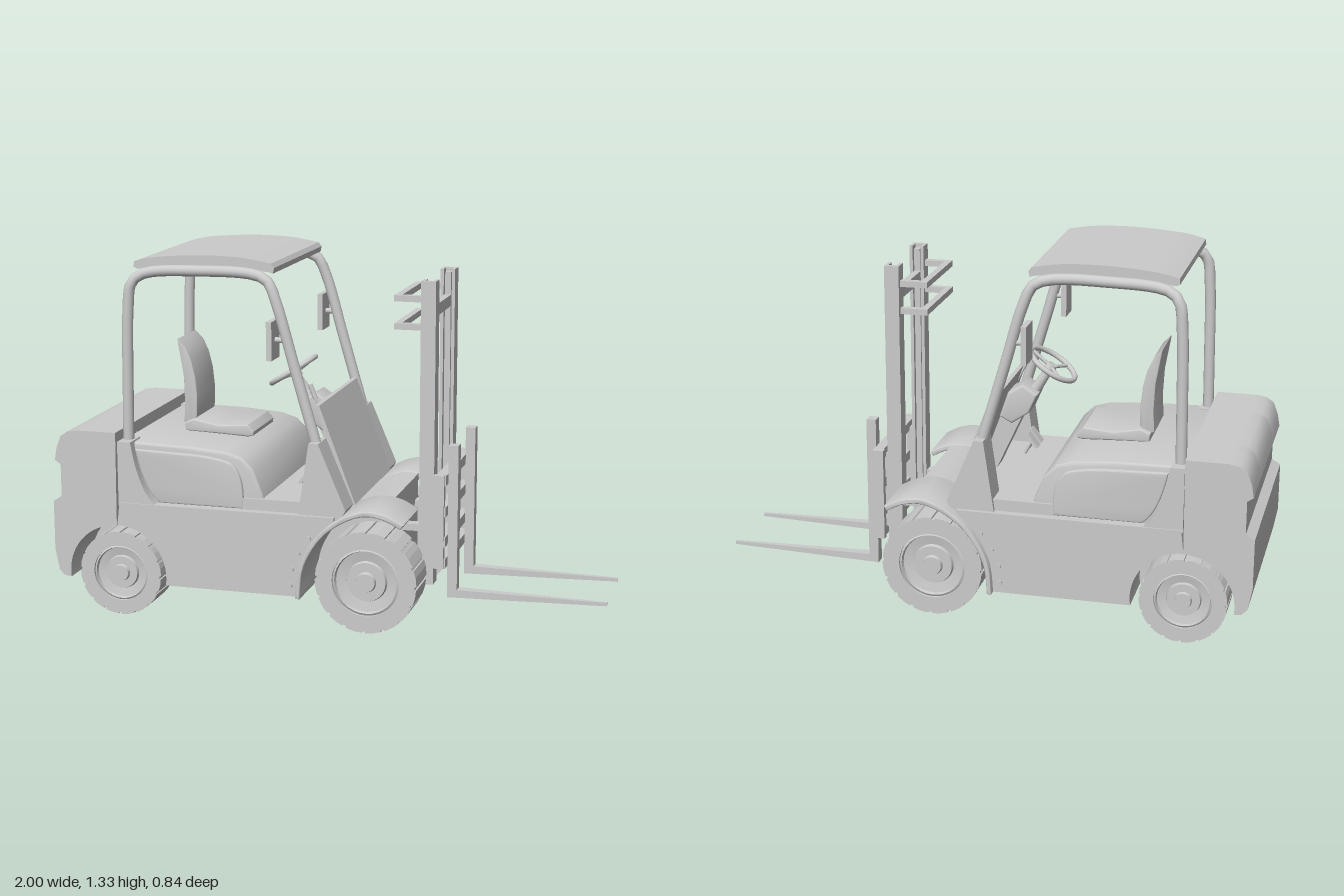
import * as THREE from 'three';
import { toCreasedNormals } from 'three/addons/utils/BufferGeometryUtils.js';

const V = (x, y, z) => new THREE.Vector3(x, y, z);

export function createModel() {
  const root = new THREE.Group();
  const grey = new THREE.MeshStandardMaterial({ color: 0xcccccc, side: THREE.DoubleSide });

  const add = (name, geo, parent = root) => {
    const m = new THREE.Mesh(geo, grey);
    m.name = name;
    parent.add(m);
    return m;
  };
  // box given by its two extreme corners
  const box = (name, x0, x1, y0, y1, z0, z1) => {
    const g = new THREE.BoxGeometry(x1 - x0, y1 - y0, z1 - z0);
    g.translate((x0 + x1) / 2, (y0 + y1) / 2, (z0 + z1) / 2);
    return add(name, g);
  };
  // side profile (points or Shape) extruded across z, with optional rounded edge
  const slab = (name, profile, z0, z1, bevel = 0) => {
    const shape = Array.isArray(profile) ? new THREE.Shape(profile.map(p => new THREE.Vector2(...p))) : profile;
    const g = new THREE.ExtrudeGeometry(shape, {
      depth: z1 - z0 - 2 * bevel, curveSegments: 16, bevelEnabled: bevel > 0,
      bevelSize: bevel, bevelOffset: -bevel, bevelThickness: bevel, bevelSegments: 3,
    });
    g.translate(0, 0, z0 + bevel);
    return add(name, toCreasedNormals(g, 0.6));
  };
  const pair = (name, profile, z0, z1, bevel) => {
    slab(name, profile, z0, z1, bevel);
    slab(name, profile, -z1, -z0, bevel);
  };
  const rod = (name, pts, r, parent) => {
    const path = new THREE.CatmullRomCurve3(pts, false, 'centripetal');
    return add(name, new THREE.TubeGeometry(path, pts.length > 2 ? 48 : 1, r, 12), parent);
  };
  const spline = (pts, n) => new THREE.SplineCurve(pts.map(p => new THREE.Vector2(...p)))
    .getPoints(n).map(p => [p.x, p.y]);
  const arc = (cx, cy, r, a0, a1, n = 16) => Array.from({ length: n + 1 }, (_, i) => {
    const a = a0 + (a1 - a0) * i / n;
    return [cx + r * Math.cos(a), cy + r * Math.sin(a)];
  });

  // counterweight: grooved rear, wheel arch in each outer side
  const back = [[-0.752, 0.69], [-0.9, 0.69], [-0.94, 0.683], [-0.965, 0.665], [-0.982, 0.62],
    [-0.99, 0.575], [-0.968, 0.56], [-0.968, 0.44], [-1, 0.42], [-1, 0.24], [-0.985, 0.16], [-0.965, 0.14]];
  slab('counterweightCore', [...back, [-0.752, 0.14]], -0.19, 0.19);
  pair('counterweightSide', [...back, ...arc(-0.755, 0.16, 0.185, Math.PI * 1.04, Math.PI / 2)], 0.19, 0.395);

  // chassis sides with arches, central core and side ledge
  pair('chassisSide', [...arc(-0.755, 0.16, 0.185, Math.PI / 2, -0.16), [-0.065, 0.13], [-0.055, 0.25],
    [0, 0.355], [0.06, 0.415], [0.06, 0.43], [-0.745, 0.43]], 0.19, 0.39);
  slab('chassisCore', [[-0.75, 0.13], [0.23, 0.13], [0.23, 0.46], [0.1, 0.45], [0.05, 0.43], [-0.75, 0.43]], -0.19, 0.19);
  box('floor', -0.3, 0.03, 0.42, 0.472, -0.36, 0.36);

  // engine hood with inset side panels
  slab('engineHood', [[-0.745, 0.42], [-0.2, 0.42], [-0.215, 0.49], [-0.25, 0.575], [-0.29, 0.615],
    [-0.35, 0.634], [-0.5, 0.645], [-0.745, 0.65]], -0.35, 0.35, 0.012);
  const panel = new THREE.Shape();
  panel.moveTo(-0.6, 0.432);
  panel.lineTo(-0.285, 0.432);
  panel.quadraticCurveTo(-0.275, 0.56, -0.33, 0.597);
  panel.quadraticCurveTo(-0.38, 0.615, -0.48, 0.62);
  panel.lineTo(-0.69, 0.625);
  panel.quadraticCurveTo(-0.66, 0.47, -0.6, 0.432);
  pair('hoodSidePanel', panel, 0.34, 0.362, 0.006);

  // roof post bases
  const rearBase = new THREE.Shape();
  rearBase.moveTo(-0.75, 0.42);
  rearBase.lineTo(-0.6, 0.42);
  rearBase.quadraticCurveTo(-0.67, 0.47, -0.7, 0.655);
  rearBase.lineTo(-0.75, 0.655);
  pair('rearPostBase', rearBase, 0.285, 0.385);
  pair('frontPostBase', [[-0.075, 0.42], [0.08, 0.42], [0.1, 0.455], [0, 0.69], [-0.035, 0.69]], 0.27, 0.375);

  // front fenders: curved sheet around each wheel, with a deck strip between
  const outer = spline([[-0.075, 0.13], [-0.06, 0.25], [0, 0.36], [0.08, 0.43], [0.17, 0.468], [0.25, 0.463], [0.32, 0.43]], 28);
  const inner = outer.map(([x, y]) => [0.165 + (x - 0.165) * 0.93, y < 0.14 ? y : 0.19 + (y - 0.19) * 0.93]).reverse();
  pair('frontFender', [...outer, ...inner], 0.18, 0.42, 0.004);
  slab('frontDeck', [[0.04, 0.4], [0.235, 0.44], [0.235, 0.466], [0.17, 0.468], [0.08, 0.43]], -0.185, 0.185);
  for (const s of [-1, 1]) for (const [x, y] of [[-0.1, 0.17], [-0.095, 0.23], [-0.07, 0.29], [-0.03, 0.35]]) {
    const g = new THREE.CylinderGeometry(0.009, 0.009, 0.012, 8);
    g.rotateX(Math.PI / 2);
    add('fenderBolt', g).position.set(x, y, s * 0.394);
  }

  // dashboard panel, steering pod, column and wheel
  slab('dashPanel', [[0.085, 0.44], [0.105, 0.45], [-0.028, 0.803], [-0.045, 0.803]], -0.26, 0.26);
  slab('steeringPod', [[-0.155, 0.77], [-0.1, 0.805], [-0.045, 0.77], [-0.015, 0.68], [-0.06, 0.655], [-0.125, 0.7]], -0.06, 0.06, 0.008);
  slab('steeringSupport', [[-0.1, 0.69], [-0.03, 0.72], [0.06, 0.47], [0, 0.47]], -0.04, 0.04);
  const steering = new THREE.Group();
  steering.name = 'steeringWheel';
  steering.position.set(-0.2, 0.875, 0);
  steering.rotation.z = 0.57;
  root.add(steering);
  add('steeringRim', new THREE.TorusGeometry(0.094, 0.01, 10, 36).rotateX(Math.PI / 2), steering);
  add('steeringHub', new THREE.CylinderGeometry(0.018, 0.024, 0.03, 16), steering).position.y = -0.015;
  add('steeringColumn', new THREE.CylinderGeometry(0.014, 0.022, 0.12, 16), steering).position.y = -0.07;
  for (let i = 0; i < 3; i++) {
    const a = i * Math.PI * 2 / 3;
    rod('steeringSpoke', [V(0, -0.012, 0), V(0.092 * Math.cos(a), 0, 0.092 * Math.sin(a))], 0.007, steering);
  }
  rod('gearLever', [V(-0.02, 0.74, 0.2), V(-0.06, 0.82, 0.2)], 0.005);
  rod('gearLeverGrip', [V(-0.058, 0.815, 0.2), V(-0.078, 0.865, 0.2)], 0.009);
  for (const z of [0.14, 0.2]) {
    slab('pedal', [[-0.12, 0.505], [-0.11, 0.5], [-0.07, 0.55], [-0.08, 0.557]], z - 0.02, z + 0.02);
    rod('pedalArm', [V(-0.095, 0.53, z), V(-0.06, 0.465, z)], 0.006);
  }

  // seat
  slab('seatBase', [[-0.58, 0.635], [-0.36, 0.63], [-0.36, 0.65], [-0.58, 0.66]], -0.1, 0.1);
  slab('seatCushion', [[-0.58, 0.65], [-0.45, 0.645], [-0.34, 0.64], [-0.32, 0.645], [-0.318, 0.66],
    [-0.34, 0.685], [-0.45, 0.677], [-0.55, 0.695], [-0.585, 0.68]], -0.125, 0.125, 0.005);
  slab('seatBack', [[-0.617, 0.988], [-0.585, 0.955], [-0.565, 0.91], [-0.55, 0.85], [-0.543, 0.78],
    [-0.545, 0.7], [-0.565, 0.67], [-0.595, 0.68], [-0.59, 0.76], [-0.595, 0.86]], -0.103, 0.103, 0.004);

  // overhead guard: two bent tubes, roof and mirrors
  for (const s of [-1, 1]) {
    rod('roofPost', [V(-0.728, 0.63, s * 0.325), V(-0.725, 0.85, s * 0.325), V(-0.718, 1.13, s * 0.325),
      V(-0.705, 1.225, s * 0.322), V(-0.665, 1.258, s * 0.31), V(-0.45, 1.275, s * 0.305), V(-0.25, 1.27, s * 0.308),
      V(-0.198, 1.25, s * 0.318), V(-0.165, 1.18, s * 0.325), V(-0.1, 0.955, s * 0.325), V(-0.015, 0.66, s * 0.325)], 0.02);
    box('mirror', -0.188, -0.168, 0.977, 1.115, s * 0.325 - 0.047, s * 0.325 + 0.047);
    rod('mirrorArm', [V(-0.17, 1.045, s * 0.325), V(-0.125, 1.045, s * 0.325)], 0.01);
  }
  slab('roof', [...spline([[-0.7, 1.3], [-0.62, 1.318], [-0.45, 1.33], [-0.3, 1.327], [-0.19, 1.31]], 20),
    [-0.178, 1.295], [-0.182, 1.275], ...spline([[-0.2, 1.28], [-0.45, 1.293], [-0.69, 1.274]], 12), [-0.702, 1.28]], -0.302, 0.302);

  // wheels: blocky tread ring and stepped hub
  const wheel = (name, x, z, R, w, s) => {
    const g = new THREE.Group();
    g.name = name;
    const n = 16, pts = [];
    for (let i = 0; i < n; i++) {
      for (const [f, k] of [[0, 1], [0.45, 1], [0.8, 0.995], [0.82, 0.965], [0.98, 0.965]]) {
        const a = (i + f) * Math.PI * 2 / n;
        pts.push(new THREE.Vector2(R * k * Math.cos(a), R * k * Math.sin(a)));
      }
    }
    const ring = new THREE.Shape(pts);
    ring.holes.push(new THREE.Path().absarc(0, 0, R * 0.66, 0, Math.PI * 2, true));
    const tyre = new THREE.ExtrudeGeometry(ring, { depth: w, curveSegments: 24, bevelEnabled: false });
    add(name + 'Tyre', tyre.translate(0, 0, -w / 2), g);
    const hub = [[0, -0.4], [0.68, -0.4], [0.68, 0.42], [0.62, 0.46], [0.6, 0.38], [0.4, 0.34], [0.38, 0.42],
      [0.2, 0.42], [0.18, 0.5], [0, 0.5]].map(([r, y]) => new THREE.Vector2(r * R, y * w));
    add(name + 'Hub', toCreasedNormals(new THREE.LatheGeometry(hub, 32).rotateX(Math.PI / 2), 0.5), g);
    g.position.set(x, R, s * z);
    if (s < 0) g.rotation.y = Math.PI;
    root.add(g);
  };
  for (const s of [-1, 1]) {
    wheel('frontWheel', 0.165, 0.267, 0.187, 0.16, s);
    wheel('rearWheel', -0.755, 0.295, 0.157, 0.15, s);
  }

  // mast: channel rails, brackets and cross bars
  for (const s of [-1, 1]) {
    const rail = (name, x0, x1, y0, y1, a, b) => box(name, x0, x1, y0, y1, Math.min(s * a, s * b), Math.max(s * a, s * b));
    rail('mastWeb', 0.322, 0.376, 0.15, 1.252, 0.168, 0.186);
    rail('mastRearFlange', 0.322, 0.334, 0.15, 1.252, 0.13, 0.17);
    rail('mastFrontFlange', 0.364, 0.376, 0.15, 1.252, 0.13, 0.17);
    rail('mastInnerRail', 0.338, 0.36, 0.16, 1.24, 0.135, 0.17);
    rail('mastMount', 0.22, 0.33, 0.345, 0.37, 0.14, 0.18);
    for (const y of [1.085, 1.185]) rail('mastBracketArm', 0.225, 0.33, y - 0.011, y + 0.011, 0.145, 0.17);
    // load fork
    rail('forkShank', 0.424, 0.46, 0.12, 0.665, 0.13, 0.17);
    const fork = new THREE.BoxGeometry(0.576, 0.03, 0.04).translate(0.712, 0.117, s * 0.15);
    const p = fork.attributes.position;
    for (let i = 0; i < p.count; i++) if (p.getX(i) > 0.9) {
      p.setZ(i, s * 0.15 + (p.getZ(i) - s * 0.15) * 0.3);
      p.setY(i, 0.119 + (p.getY(i) - 0.117) * 0.4);
    }
    fork.computeVertexNormals();
    add('forkBlade', fork);
    // carriage side
    rail('carriageSide', 0.382, 0.42, 0.222, 0.565, 0.198, 0.222);
    rail('carriageRail', 0.376, 0.4, 0.25, 0.54, 0.135, 0.165);
  }
  for (const y of [1.085, 1.185]) box('mastBracketBar', 0.222, 0.247, y - 0.011, y + 0.011, -0.17, 0.17);
  box('mastCrossBar', 0.335, 0.36, 1.115, 1.157, -0.15, 0.15);
  box('mastLowerCrossBar', 0.335, 0.36, 0.17, 0.22, -0.15, 0.15);
  for (const y of [0.24, 0.32, 0.43, 0.545]) box('carriageBar', 0.388, 0.425, y - 0.018, y + 0.018, -0.215, 0.215);

  return root;
}
